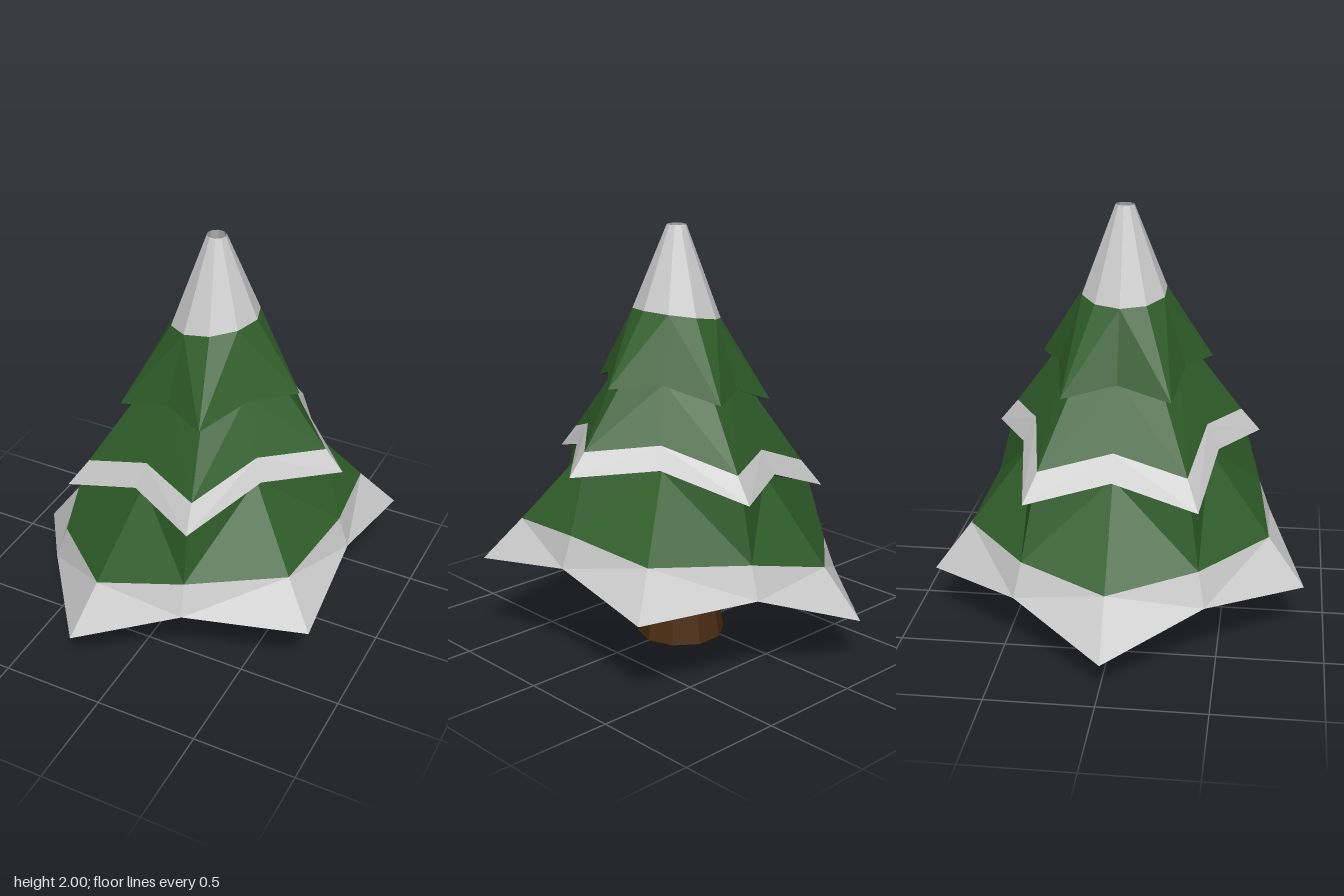
import * as THREE from 'three';

const SIDES = 10;
const SLOPE = 0.177; // sideways tilt of the branch tiers

const flat = (color) => new THREE.MeshStandardMaterial({ color, flatShading: true, side: THREE.DoubleSide });

// Star ring: even and odd corners each have [centre x, height, radius]
function ring(even, odd = even, slope = SLOPE) {
  return Array.from({ length: SIDES }, (_, i) => {
    const [cx, h, r] = i % 2 ? odd : even;
    const a = (i * Math.PI * 2) / SIDES;
    const x = cx + r * Math.cos(a);
    return [x, h + slope * x, r * Math.sin(a)];
  });
}

// Skin between successive rings, with mirrored diagonals
function skin(name, rings, material) {
  const pos = [];
  for (let k = 0; k < rings.length - 1; k++) {
    const lo = rings[k], hi = rings[k + 1];
    for (let i = 0; i < SIDES; i++) {
      const j = (i + 1) % SIDES;
      const tris = i % 2
        ? [lo[i], hi[i], lo[j], lo[j], hi[i], hi[j]]
        : [lo[i], hi[i], hi[j], lo[i], hi[j], lo[j]];
      pos.push(...tris.flat());
    }
  }
  const geo = new THREE.BufferGeometry();
  geo.setAttribute('position', new THREE.Float32BufferAttribute(pos, 3));
  geo.computeVertexNormals();
  const mesh = new THREE.Mesh(geo, material);
  mesh.name = name;
  return mesh;
}

export function createModel() {
  const tree = new THREE.Group();
  tree.name = 'snowyTree';
  const green = flat(0x2f5c29), snow = flat(0xcccccc), brown = flat(0x4a2d12);

  // Tapered trunk
  const trunk = new THREE.Mesh(new THREE.CylinderGeometry(0.16, 0.213, 0.36, SIDES), brown);
  trunk.geometry.rotateY(Math.PI / 2);
  trunk.position.set(0.085, 0.18, 0);
  trunk.name = 'trunk';
  tree.add(trunk);

  // Rings from the bottom up
  const centre = ring([0.09, 0.27, 0]);
  const lowEdge = ring([0.06, 0.37, 0.755], [0.09, 0.27, 0.945]);
  const lowSnow = ring([0.063, 0.524, 0.7], [0.087, 0.49, 0.76]);
  const lowTop = ring([0.07, 0.81, 0.62], [0.085, 0.875, 0.445]);
  const midEdge = ring([0.075, 0.797, 0.688], [0.082, 0.885, 0.495]);
  const midSnow = ring([0.084, 0.915, 0.59], [0.091, 0.993, 0.433]);
  const midTop = ring([0.095, 1.212, 0.37], [0.11, 1.262, 0.285]);
  const highEdge = ring([0.093, 1.203, 0.438], [0.11, 1.255, 0.32]);
  const highSnow = ring([0.105, 1.57, 0.206]);
  const tip = ring([0.105, 2, 0.045], undefined, 0);

  // Branch tiers, their undersides and the snow on them
  tree.add(
    skin('lowerTierUnderside', [centre, lowEdge], green),
    skin('lowerTierSnow', [lowEdge, lowSnow], snow),
    skin('lowerTier', [lowSnow, lowTop], green),
    skin('middleTierUnderside', [lowTop, midEdge], green),
    skin('middleTierSnow', [midEdge, midSnow], snow),
    skin('middleTier', [midSnow, midTop], green),
    skin('upperTier', [midTop, highEdge, highSnow], green),
    skin('snowTip', [highSnow, tip], snow),
  );
  return tree;
}
